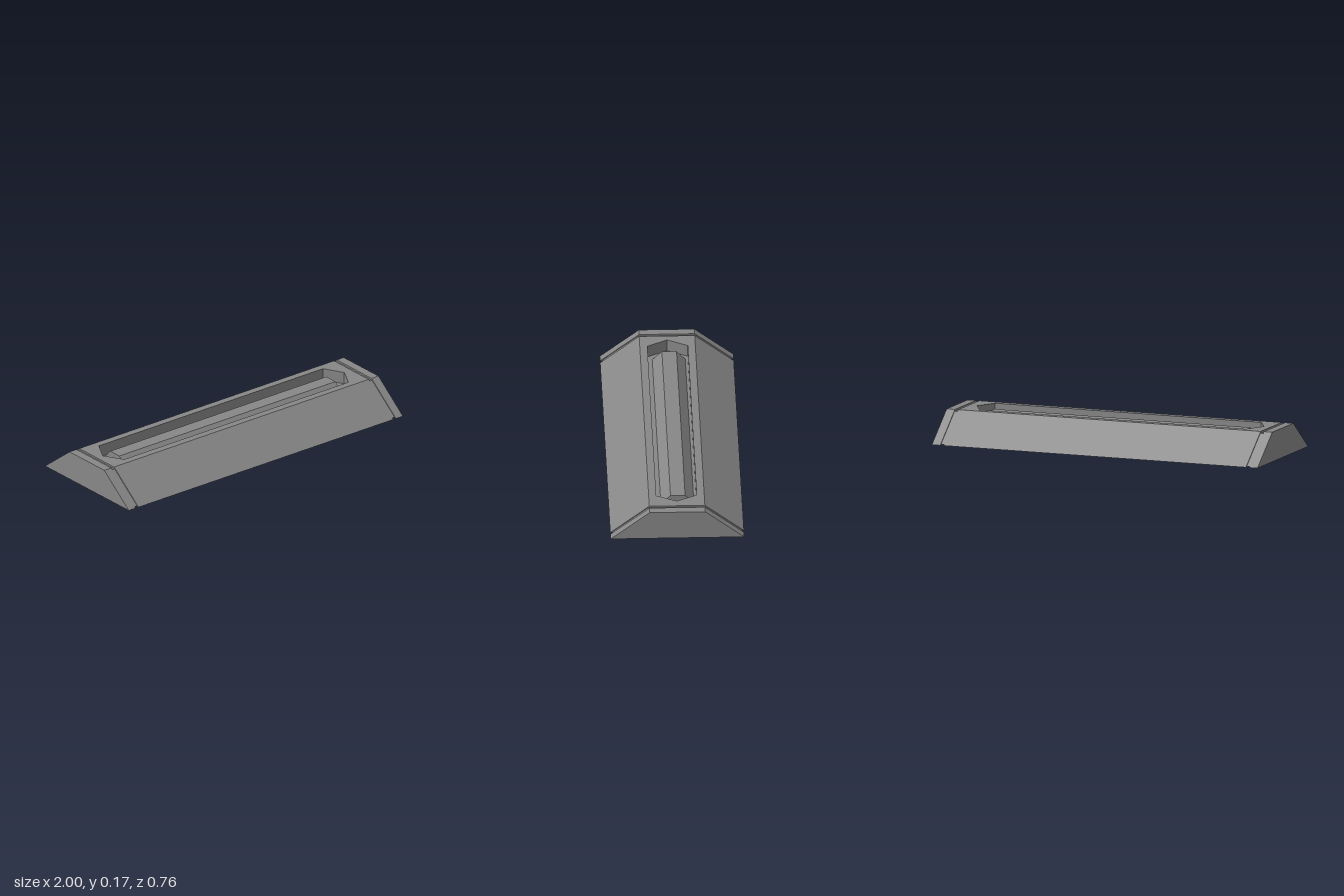
import * as THREE from 'three';

const H = 0.171, BASE = 0.38, TOP = 0.158; // body height and half depths
const FLOOR = 0.1;                         // height of the recess floor
const MAIN = 0.929, GROOVE = 0.949;        // half length of body, start of end caps
const halfDepth = (y) => BASE - (y / H) * (BASE - TOP);

const material = new THREE.MeshStandardMaterial({ color: 0x878787, flatShading: true });

const polygon = (points) => new THREE.Shape(points.map(([x, y]) => new THREE.Vector2(x, y)));

// Prism running along x between x0 and x1, with a (z, y) section.
function prism(section, x0, x1) {
  return new THREE.ExtrudeGeometry(polygon(section), { depth: x1 - x0, bevelEnabled: false })
    .rotateY(-Math.PI / 2)
    .translate(x1, 0, 0);
}

// Trapezoid section between two heights, pulled in by an inset.
function section(y0, y1, inset = 0) {
  const a = halfDepth(y0) - inset, b = halfDepth(y1) - inset;
  return [[-a, y0], [a, y0], [b, y1], [-b, y1]];
}

export function createModel() {
  const model = new THREE.Group();
  const add = (name, geometry) => {
    const mesh = new THREE.Mesh(geometry, material);
    mesh.name = name;
    model.add(mesh);
  };

  // Lower body, whose top is the recess floor
  add('lowerBody', prism(section(0, FLOOR), -MAIN, MAIN));

  // Upper body with a six-sided recess; its lower edges are spread to follow the slopes
  const plate = polygon([[-MAIN, -TOP], [MAIN, -TOP], [MAIN, TOP], [-MAIN, TOP]]);
  plate.holes.push(polygon([
    [-0.885, 0], [-0.82, 0.115], [0.815, 0.115],
    [0.877, 0], [0.815, -0.115], [-0.82, -0.115],
  ]));
  const upper = new THREE.ExtrudeGeometry(plate, { depth: H - FLOOR, bevelEnabled: false })
    .rotateX(-Math.PI / 2)
    .translate(0, FLOOR, 0);
  const pos = upper.attributes.position;
  for (let i = 0; i < pos.count; i++) {
    const z = pos.getZ(i);
    if (Math.abs(z) > TOP - 0.01) pos.setZ(i, Math.sign(z) * halfDepth(pos.getY(i)));
  }
  upper.computeVertexNormals();
  add('upperBody', upper);

  // Raised bar with sloping sides inside the recess
  add('recessBar', prism(
    [[-0.1, FLOOR - 0.01], [0.088, FLOOR - 0.01], [0.088, FLOOR], [0.033, 0.153], [-0.05, 0.153], [-0.1, FLOOR]],
    -0.79, 0.787));

  // End caps, separated from the body by a shallow groove
  for (const [side, s] of [['left', 1], ['right', -1]]) {
    const span = (a, b) => (s > 0 ? [a, b] : [-b, -a]);
    add(side + 'GrooveCore', prism(section(0.004, H - 0.01, 0.008), ...span(MAIN - 0.005, GROOVE + 0.005)));
    add(side + 'EndCap', prism(section(0, H), ...span(GROOVE, 1)));
  }
  return model;
}
